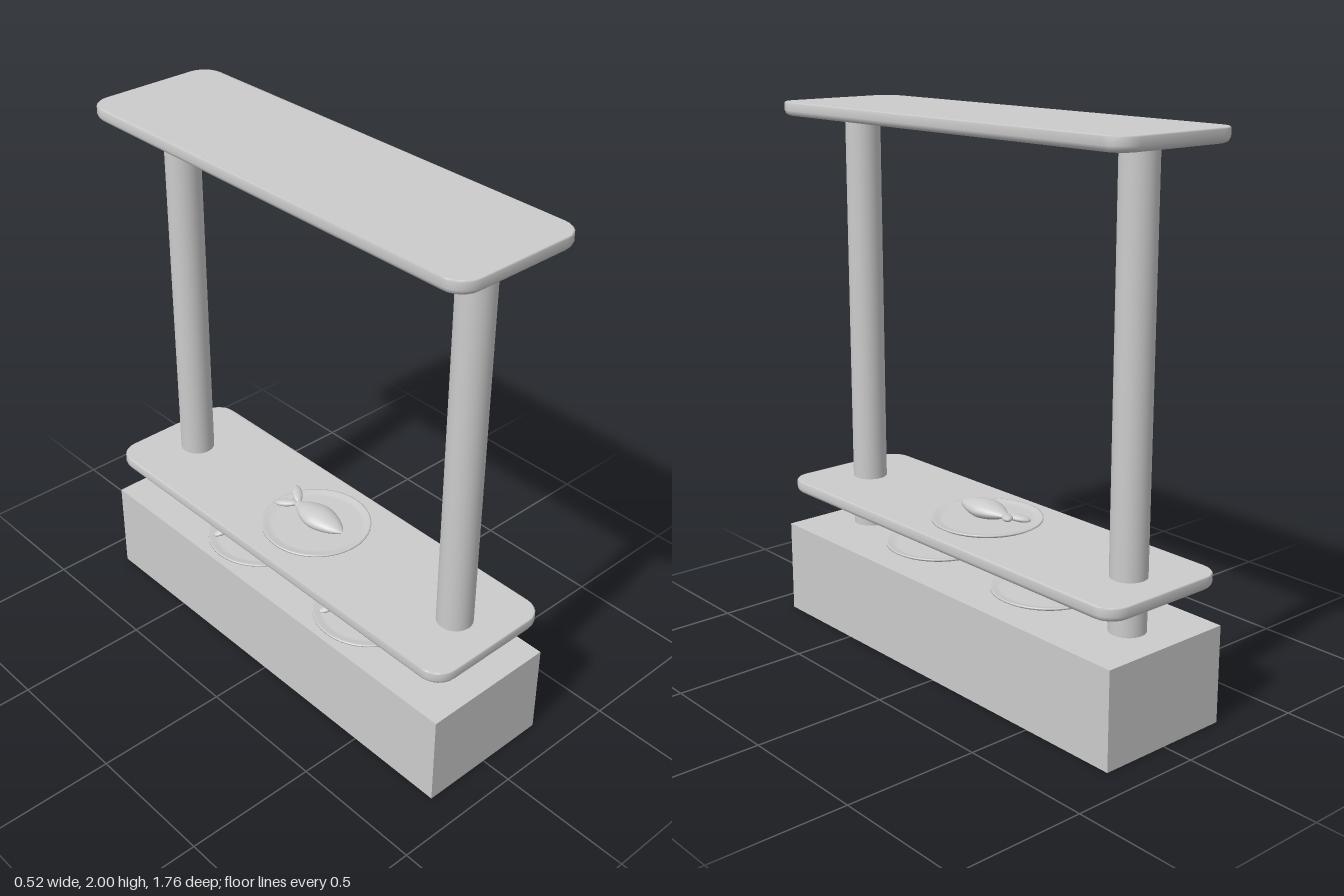
import * as THREE from 'three';

const material = new THREE.MeshStandardMaterial({ color: 0xcccccc, side: THREE.DoubleSide });

function part(name, geometry, x = 0, y = 0, z = 0) {
  const mesh = new THREE.Mesh(geometry, material);
  mesh.name = name;
  mesh.position.set(x, y, z);
  return mesh;
}

// Rounded rectangle outline, counter-clockwise, pulled in by an inset
function outline(halfW, halfL, radius, inset, steps = 6) {
  const points = [];
  const corners = [[1, 1], [-1, 1], [-1, -1], [1, -1]];
  corners.forEach(([sx, sy], c) => {
    for (let i = 0; i <= steps; i++) {
      const a = (c + i / steps) * Math.PI / 2;
      points.push(new THREE.Vector2(
        sx * (halfW - radius) + (radius - inset) * Math.cos(a),
        sy * (halfL - radius) + (radius - inset) * Math.sin(a)));
    }
  });
  return points;
}

// Board with a rounded lower edge; vertices are shared so shading is smooth
function boardGeometry(halfW, halfL, height, radius) {
  const rings = [[0, 0.02], [0.004, 0.01], [0.01, 0.004], [0.02, 0], [height - 0.004, 0], [height, 0.004]];
  const position = [], index = [];
  let n = 0;
  rings.forEach(([y, inset]) => {
    const pts = outline(halfW, halfL, radius, inset);
    n = pts.length;
    pts.forEach(p => position.push(p.x, y, -p.y));
  });
  for (let r = 0; r < rings.length - 1; r++) {
    for (let i = 0; i < n; i++) {
      const j = (i + 1) % n;
      const a = r * n + i, b = r * n + j;
      index.push(a, b, b + n, a, b + n, a + n);
    }
  }
  const top = (rings.length - 1) * n;
  THREE.ShapeUtils.triangulateShape(outline(halfW, halfL, radius, 0), []).forEach(([a, b, c]) => {
    index.push(top + a, top + b, top + c, a, c, b);
  });
  const geometry = new THREE.BufferGeometry();
  geometry.setAttribute('position', new THREE.Float32BufferAttribute(position, 3));
  geometry.setIndex(index);
  geometry.computeVertexNormals();
  return geometry;
}

function lathe(points, segments) {
  return new THREE.LatheGeometry(points.map(p => new THREE.Vector2(...p)), segments);
}

// Fish lying with its head towards +z
function createFish() {
  const fish = new THREE.Group();
  fish.name = 'fish';
  const profile = new THREE.SplineCurve([
    [0.012, -0.115], [0.022, -0.09], [0.045, -0.05], [0.06, 0], [0.057, 0.04],
    [0.042, 0.085], [0.022, 0.12], [0.0, 0.145]
  ].map(p => new THREE.Vector2(...p))).getPoints(24).map(p => [Math.max(p.x, 0), p.y]);
  const body = lathe(profile, 24).rotateX(Math.PI / 2).scale(1, 0.54, 1);
  fish.add(part('fishBody', body, 0, 0.034, 0));

  // Forked tail of two flattened lobes
  for (const side of [-1, 1]) {
    const lobe = new THREE.SphereGeometry(1, 14, 10).scale(0.02, 0.012, 0.046);
    const fin = part('tailLobe', lobe, side * 0.027, 0.038 + side * 0.007, -0.137);
    fin.rotation.set(side * 0.16, -side * 0.6, 0);
    fish.add(fin);
  }
  return fish;
}

// Shallow plate carrying one fish
function createServing(name, x, y, z, turn) {
  const serving = new THREE.Group();
  serving.name = name;
  const plate = lathe([[0, 0], [0.19, 0], [0.203, 0.007], [0.203, 0.012], [0.197, 0.013],
    [0.18, 0.008], [0.165, 0.006], [0, 0.006]], 40);
  serving.add(part('plate', plate));
  const fish = createFish();
  fish.position.y = 0.006;
  fish.rotation.y = turn;
  serving.add(fish);
  serving.position.set(x, y, z);
  return serving;
}

export function createModel() {
  const model = new THREE.Group();
  model.name = 'fishStall';

  // Counter block
  model.add(part('base', new THREE.BoxGeometry(0.525, 0.355, 1.765), 0, 0.1775, 0));

  // Posts at both ends
  for (const z of [0.705, -0.705]) {
    model.add(part('post', new THREE.CylinderGeometry(0.065, 0.065, 1.595, 32), 0, 1.1475, z));
  }

  // Shelf and roof share one board
  const board = boardGeometry(0.2625, 0.8825, 0.05, 0.08);
  model.add(part('shelf', board, 0, 0.497, 0));
  model.add(part('roof', board, 0, 1.95, 0));

  // One serving on the shelf, two on the counter
  model.add(createServing('shelfServing', 0, 0.55, 0, 0));
  for (const z of [0.32, -0.28]) {
    model.add(createServing('counterServing', -0.037, 0.357, z, Math.PI / 4));
  }
  return model;
}
